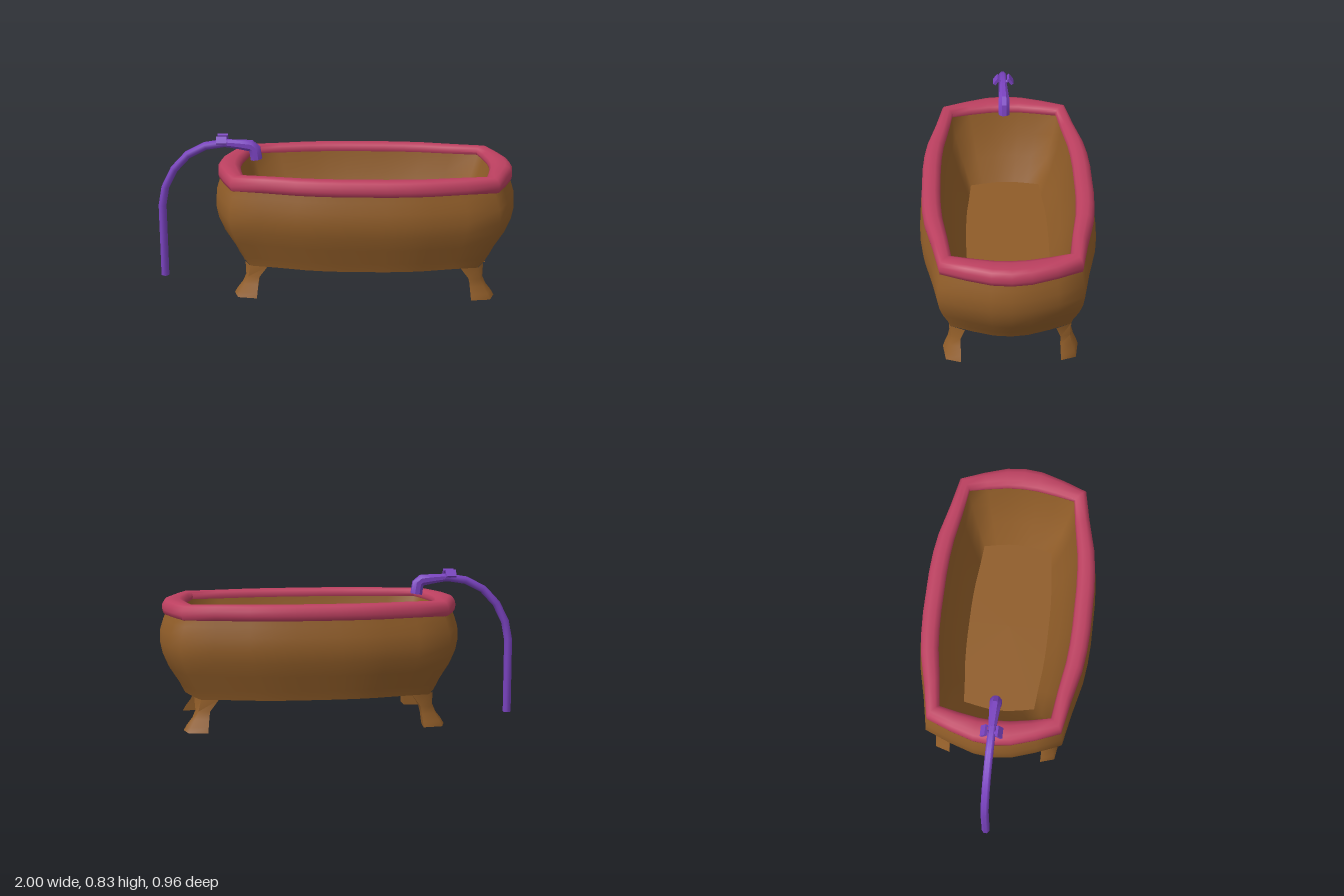
import * as THREE from 'three';
import { toCreasedNormals } from 'three/addons/utils/BufferGeometryUtils.js';

const brown = new THREE.MeshStandardMaterial({ color: 0x8f5c28 });
const rose = new THREE.MeshStandardMaterial({ color: 0xbc4060 });
const purple = new THREE.MeshStandardMaterial({ color: 0x7a43c0 });
const lerp = THREE.MathUtils.lerp;
const TUB_X = 0.165;

// Skin a list of equal-length rings of [x, y, z]; collapsed rings act as caps.
function loft(rings, { closed = false, crease = 0.9 } = {}) {
  const n = rings[0].length;
  const collapsed = (r) => new THREE.Vector3(...r[0]).distanceTo(new THREE.Vector3(...r[1])) < 1e-6;
  const index = [];
  const last = closed ? rings.length : rings.length - 1;
  for (let i = 0; i < last; i++) {
    const k = (i + 1) % rings.length;
    for (let j = 0; j < n; j++) {
      const m = (j + 1) % n;
      const a = i * n + j, b = i * n + m, c = k * n + m, d = k * n + j;
      if (!collapsed(rings[i])) index.push(a, d, b);
      if (!collapsed(rings[k])) index.push(b, d, c);
    }
  }
  const geo = new THREE.BufferGeometry();
  geo.setAttribute('position', new THREE.Float32BufferAttribute(rings.flat(2), 3));
  geo.setIndex(index);
  return toCreasedNormals(geo, crease);
}

function add(parent, name, geo, mat) {
  const mesh = new THREE.Mesh(geo, mat);
  mesh.name = name;
  parent.add(mesh);
}

// Tub outline: bowed ends and gently waved sides meeting at four corners.
// hx, hz: half length and width; cx, cz: corner position.
function outline([hx, hz, cx, cz, y]) {
  const q = [
    [hx, 0], [lerp(hx, cx, 0.1), 0.28 * cz], [lerp(hx, cx, 0.5), 0.64 * cz], [cx, cz],
    [0.76 * cx, lerp(cz, hz, 0.34)], [0.5 * cx, lerp(cz, hz, 0.78)],
    [0.34 * cx, lerp(cz, hz, 0.93)], [0.17 * cx, hz], [0, hz],
  ];
  const half = [...q, ...q.slice(0, -1).reverse().map(([x, z]) => [-x, z])];
  const full = [...half, ...half.slice(1, -1).reverse().map(([x, z]) => [x, -z])];
  return full.map(([x, z]) => [x, y, z]);
}

// Round pipe in the xy plane through [x, y, radius] points.
function pipe(points, crease, sides = 8) {
  const path = [[...points[0].slice(0, 2), 0], ...points, [...points.at(-1).slice(0, 2), 0]];
  return loft(path.map(([x, y, r], i) => {
    const p = path[Math.max(i - 1, 0)], q = path[Math.min(i + 1, path.length - 1)];
    const t = new THREE.Vector2(q[0] - p[0], q[1] - p[1]).normalize();
    return Array.from({ length: sides }, (_, j) => {
      const a = (j + 0.5) / sides * Math.PI * 2;
      return [x + t.y * Math.cos(a) * r, y - t.x * Math.cos(a) * r, Math.sin(a) * r];
    });
  }), { crease });
}

export function createModel() {
  const model = new THREE.Group();
  model.name = 'bathtub';
  const tub = new THREE.Group();
  tub.name = 'tub';
  tub.position.x = TUB_X;
  model.add(tub);

  // Bulging outer wall with a flat underside
  const outer = [
    [0.71, 0.405, 0.62, 0.318, 0.175],
    [0.735, 0.418, 0.64, 0.328, 0.225],
    [0.79, 0.449, 0.685, 0.352, 0.31],
    [0.822, 0.469, 0.713, 0.368, 0.385],
    [0.835, 0.478, 0.725, 0.375, 0.45],
    [0.832, 0.469, 0.72, 0.37, 0.52],
    [0.815, 0.453, 0.705, 0.36, 0.575],
    [0.795, 0.44, 0.69, 0.35, 0.625],
  ];
  add(tub, 'outerWall', loft(outer.map(outline), { crease: 1.3 }), brown);
  add(tub, 'underside', loft([[0, 0, 0, 0, 0.175], outer[0]].map(outline)), brown);

  // Sloping inner wall down to the floor
  const inner = [
    [0.695, 0.366, 0.65, 0.303, 0.645],
    [0.66, 0.342, 0.615, 0.283, 0.53],
    [0.595, 0.292, 0.558, 0.246, 0.4],
    [0.515, 0.23, 0.485, 0.2, 0.27],
  ];
  add(tub, 'innerWall', loft(inner.map(outline), { crease: 1.3 }), brown);
  add(tub, 'floor', loft([inner[3], [0, 0, 0, 0, 0.27]].map(outline)), brown);

  // Rolled rim
  const rim = [
    [0.795, 0.44, 0.695, 0.345, 0.605],
    [0.815, 0.458, 0.712, 0.358, 0.612],
    [0.82, 0.463, 0.716, 0.362, 0.635],
    [0.818, 0.461, 0.714, 0.36, 0.66],
    [0.804, 0.448, 0.705, 0.352, 0.682],
    [0.78, 0.428, 0.69, 0.342, 0.69],
    [0.725, 0.39, 0.665, 0.318, 0.69],
    [0.7, 0.37, 0.65, 0.304, 0.68],
    [0.69, 0.361, 0.645, 0.298, 0.66],
    [0.698, 0.369, 0.652, 0.306, 0.635],
  ];
  add(tub, 'rim', loft(rim.map(outline), { closed: true, crease: 1.15 }), rose);

  // Four flared legs continuing the wall; corners: end, outer, side, inner
  const leg = [
    [0, [[0.65, 0.31], [0.65, 0.31], [0.65, 0.31], [0.65, 0.31]]],
    [0, [[0.715, 0.265], [0.69, 0.345], [0.585, 0.362], [0.59, 0.268]]],
    [0.03, [[0.698, 0.265], [0.676, 0.336], [0.582, 0.352], [0.585, 0.268]]],
    [0.07, [[0.667, 0.265], [0.654, 0.322], [0.578, 0.335], [0.58, 0.268]]],
    [0.11, [[0.65, 0.264], [0.635, 0.315], [0.573, 0.325], [0.57, 0.266]]],
    [0.175, [[0.655, 0.24], [0.62, 0.318], [0.525, 0.329], [0.53, 0.245]]],
  ];
  for (const sx of [1, -1]) for (const sz of [1, -1]) {
    const rings = leg.map(([y, pts]) => {
      const ring = pts.map(([x, z]) => [sx * x, y, sz * z]);
      return sx * sz > 0 ? ring : ring.reverse();
    });
    add(tub, (sz > 0 ? 'front' : 'back') + (sx > 0 ? 'Left' : 'Right') + 'Leg', loft(rings, { crease: 1.15 }), brown);
  }

  // Faucet: standing pipe, spout and two angled handles
  const faucet = new THREE.Group();
  faucet.name = 'faucet';
  model.add(faucet);
  add(faucet, 'supplyPipe', pipe([
    [-0.978, 0, 0.023], [-0.978, 0.42, 0.023], [-0.958, 0.525, 0.023], [-0.905, 0.63, 0.023],
    [-0.825, 0.715, 0.023], [-0.725, 0.766, 0.023], [-0.62, 0.783, 0.023], [-0.56, 0.78, 0.023],
  ], 0.9), purple);
  add(faucet, 'spout', pipe([
    [-0.6, 0.782, 0.023], [-0.53, 0.776, 0.028], [-0.47, 0.769, 0.033],
    [-0.449, 0.752, 0.034], [-0.44, 0.692, 0.034],
  ], 0.6), purple);
  for (const side of [1, -1]) {
    const handle = new THREE.Group();
    handle.name = side > 0 ? 'frontHandle' : 'backHandle';
    handle.position.set(-0.63, 0.778, 0);
    handle.rotation.x = side * 0.94;
    add(handle, 'stem', new THREE.CylinderGeometry(0.008, 0.011, 0.045, 8).translate(0, 0.024, 0), purple);
    add(handle, 'grip', new THREE.BoxGeometry(0.058, 0.016, 0.042).translate(0, 0.05, 0), purple);
    faucet.add(handle);
  }
  return model;
}
